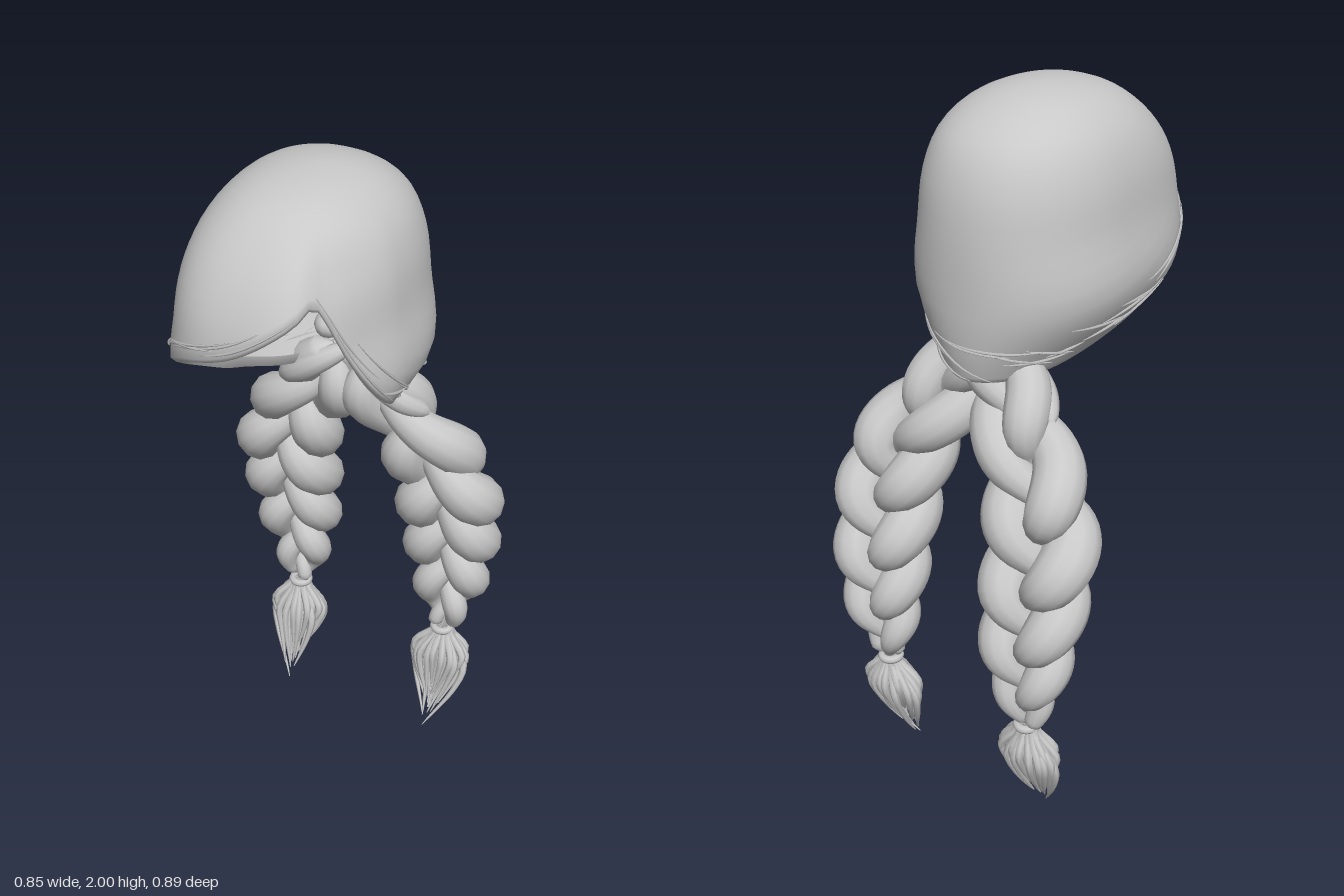
import * as THREE from 'three';
import { mergeVertices, mergeGeometries } from 'three/addons/utils/BufferGeometryUtils.js';

const hair = new THREE.MeshStandardMaterial({ color: 0xc8c8c8, side: THREE.DoubleSide });
hair.name = 'grey hair';

let seed = 7;
const rand = () => (seed = (seed * 16807) % 2147483647) / 2147483647;

// Smooth lookup through a short table
const table = (xs, ys) => {
  const it = new THREE.CubicInterpolant(xs, ys, 1);
  return x => it.evaluate(x)[0];
};

function mesh(geo, name) {
  const m = new THREE.Mesh(geo, hair);
  m.name = name;
  return m;
}

// Tube along a function of t, with a radius that is also a function of t
class Path extends THREE.Curve {
  constructor(fn) { super(); this.fn = fn; }
  getPoint(t) { return this.fn(t); }
  getUtoTmapping(u) { return u; }
}
function sweep(fn, radius, segs, sides) {
  const geo = new THREE.TubeGeometry(new Path(fn), segs, 1, sides);
  const pos = geo.attributes.position, v = new THREE.Vector3();
  for (let i = 0; i <= segs; i++) {
    const c = fn(i / segs), r = radius(i / segs);
    for (let j = 0; j <= sides; j++) {
      const k = i * (sides + 1) + j;
      v.fromBufferAttribute(pos, k).sub(c).multiplyScalar(r).add(c);
      pos.setXYZ(k, v.x, v.y, v.z);
    }
  }
  geo.deleteAttribute('uv');
  geo.deleteAttribute('normal');
  const out = mergeVertices(geo, 1e-5);
  out.computeVertexNormals();
  return out;
}

// Cap envelope: front, back and half width, by the root of the drop below the crown
const drop = [0, 0.173, 0.316, 0.447, 0.566, 0.707, 0.762, 0.83];
const capFront = table(drop, [0.03, 0.22, 0.325, 0.4, 0.44, 0.43, 0.39, 0.22]);
const capBack = table(drop, [0.03, -0.13, -0.24, -0.29, -0.308, -0.312, -0.31, -0.295]);
const capWidth = table(drop, [0, 0.14, 0.22, 0.26, 0.275, 0.292, 0.25, 0.17]);
// Hem height by angle: 0 is the front, positive towards the model's left
const hem = table(
  [-180, -135, -90, -70, -55, -42, -25, 0, 15, 24, 28, 32, 42, 55, 70, 90, 135, 180],
  [1.31, 1.33, 1.385, 1.42, 1.47, 1.53, 1.605, 1.675, 1.74, 1.782, 1.8, 1.765, 1.65, 1.54, 1.46, 1.40, 1.33, 1.31]);
const CZ = 0.03;

function capPoint(deg, f, scale = 1, lift = 0) {
  const a = THREE.MathUtils.degToRad(deg), s = Math.sin(a), c = Math.cos(a);
  const y = 2 - (2 - hem(deg)) * f * f, d = Math.sqrt(Math.max(0, 2 - y));
  const n = 2.15 + 0.6 * Math.max(0, c) * THREE.MathUtils.smoothstep(d, 0.1, 0.5);
  const w = Math.max(1e-5, capWidth(d));
  const l = Math.max(1e-5, c > 0 ? capFront(d) - CZ : CZ - capBack(d));
  let r = Math.pow(Math.pow(Math.abs(s) / w, n) + Math.pow(Math.abs(c) / l, n), -1 / n);
  // The side lock tucks in under the fringe
  const tuck = THREE.MathUtils.smoothstep(deg, 20, 34) * (1 - THREE.MathUtils.smoothstep(deg, 38, 75));
  r *= 1 - 0.08 * tuck * THREE.MathUtils.smoothstep(d, 0.2, 0.42);
  return new THREE.Vector3(s * r * scale, y + lift, CZ + c * r * scale);
}

function capGeometry() {
  const cols = 96, rows = 22, pos = [], idx = [];
  const rings = [];
  for (let i = 0; i <= rows; i++) rings.push([i / rows, 1, 0]);
  rings.push([1, 0.965, -0.015], [1, 0.91, -0.018], [1, 0.88, 0.015]); // rolled rim
  for (const [f, s, lift] of rings)
    for (let j = 0; j < cols; j++) pos.push(...capPoint(-180 + 360 * j / cols, f, s, lift));
  for (let i = 0; i < rings.length - 1; i++)
    for (let j = 0; j < cols; j++) {
      const a = i * cols + j, b = i * cols + (j + 1) % cols;
      idx.push(a, a + cols, b, b, a + cols, b + cols);
    }
  const geo = new THREE.BufferGeometry();
  geo.setAttribute('position', new THREE.Float32BufferAttribute(pos, 3));
  geo.setIndex(idx);
  const out = mergeVertices(geo, 1e-4);
  out.computeVertexNormals();
  return out;
}

// Thin strands lying on the cap near its hem
function looseStrands() {
  const parts = [];
  for (let i = 0; i < 34; i++) {
    const from = -185 + i * 10.5 + rand() * 6, len = 22 + rand() * 25;
    if (from < 28 && from + len > 22) continue; // keep the parting clear
    const f0 = 0.9 + rand() * 0.1, f1 = 0.93 + rand() * 0.08;
    const wrap = d => d < -180 ? d + 360 : d > 180 ? d - 360 : d;
    parts.push(sweep(t => capPoint(wrap(from + len * t), f0 + (f1 - f0) * t, 1.003 + 0.012 * t),
      t => 0.001 + 0.003 * Math.sin(Math.PI * t), 10, 4));
  }
  return mergeGeometries(parts);
}

// Braid centre line and thickness, by t from the nape down to the tie
const bt = [0, 0.08, 0.17, 0.27, 0.45, 0.65, 0.85, 1];
const braidX = table(bt, [0.02, 0.066, 0.118, 0.195, 0.257, 0.26, 0.256, 0.25]);
const braidZ = table(bt, [-0.2, -0.2, -0.22, -0.255, -0.295, -0.345, -0.362, -0.35]);
const braidSize = table(bt, [0.6, 0.78, 0.88, 0.95, 1.03, 0.95, 0.7, 0.28]);

function braidStrand(k, side) {
  const phase = t => Math.PI * 2 * (1.9 * Math.pow(t, 1.08) + k / 3 + 0.1);
  const at = t => {
    const p = phase(t), s = braidSize(t);
    return new THREE.Vector3(
      side * (braidX(t) + 0.088 * s * Math.sin(p)),
      1.375 - 1.025 * t,
      braidZ(t) + 0.037 * s * Math.sin(2 * p));
  };
  const radius = t => {
    const end = Math.min(1, t / 0.02, (1 - t) / 0.02);
    return Math.max(0.002, end * braidSize(t) * (0.044 + 0.03 * Math.abs(Math.sin(phase(t)))));
  };
  return sweep(at, radius, 90, 12);
}

// Loose end below the tie: a ring of tapering locks
function tassel(side) {
  const parts = [];
  for (let i = 0; i < 40; i++) {
    const a = i * 2.4, out = i < 20 ? 1 : 0.4 + 0.5 * rand();
    const tip = i === 0 ? 0 : 0.03 + rand() * 0.11, end = 0.1 + 0.35 * rand();
    const spread = table([0, 0.12, 0.36, 0.6, 1], [0.3, 0.42, 1.12, 0.95, i === 0 ? 0 : end]);
    parts.push(sweep(t => {
      const y = 0.355 + (tip - 0.355) * t, q = 1 - y / 0.355;
      return new THREE.Vector3(
        side * (0.254 - 0.012 * q + 0.076 * out * spread(t) * Math.cos(a)), y,
        -0.348 + 0.1 * q * q + 0.045 * out * spread(t) * Math.sin(a));
    }, t => 0.0015 + 0.0145 * Math.sqrt(Math.max(0, Math.sin(Math.PI * (0.1 + 0.9 * t)))) * (1 - 0.75 * t), 14, 6));
  }
  return mergeGeometries(parts);
}

// Lock crossing over the front of a braid
function crossingLock(points, side, width) {
  const curve = new THREE.CatmullRomCurve3(points.map(([x, y, z]) => new THREE.Vector3(side * x, y, z)));
  return mesh(sweep(t => curve.getPoint(t), t => 0.01 + width * Math.sqrt(Math.sin(Math.PI * Math.min(1, t))  + 1e-6), 20, 10), 'crossingLock');
}

function braid(side) {
  const g = new THREE.Group();
  g.name = side > 0 ? 'leftBraid' : 'rightBraid';
  for (let k = 0; k < 3; k++) g.add(mesh(braidStrand(k, side), 'braidStrand'));
  const tie = mesh(new THREE.TorusGeometry(0.026, 0.012, 8, 20), 'braidTie');
  tie.rotation.x = Math.PI / 2;
  tie.position.set(side * 0.25, 0.347, -0.348);
  g.add(tie, mesh(tassel(side), 'tassel'));
  g.add(crossingLock([[0, 1.375, -0.18], [0.08, 1.325, -0.15], [0.16, 1.265, -0.16], [0.225, 1.215, -0.21]], side, 0.026));
  g.add(crossingLock([[0.13, 1.24, -0.2], [0.2, 1.18, -0.195], [0.28, 1.115, -0.21], [0.345, 1.07, -0.25]], side, 0.024));
  return g;
}

export function createModel() {
  const model = new THREE.Group();
  model.name = 'braidedHair';
  model.add(mesh(capGeometry(), 'hairCap'), mesh(looseStrands(), 'looseStrands'));

  // Gathered hair at the nape
  for (const x of [-0.08, 0, 0.1]) {
    const knot = mesh(new THREE.SphereGeometry(0.042, 12, 8), 'napeKnot');
    knot.scale.set(1, 0.95, 1.2);
    knot.position.set(x, 1.41, -0.215);
    model.add(knot);
  }
  for (const side of [1, -1]) model.add(braid(side));
  return model;
}
